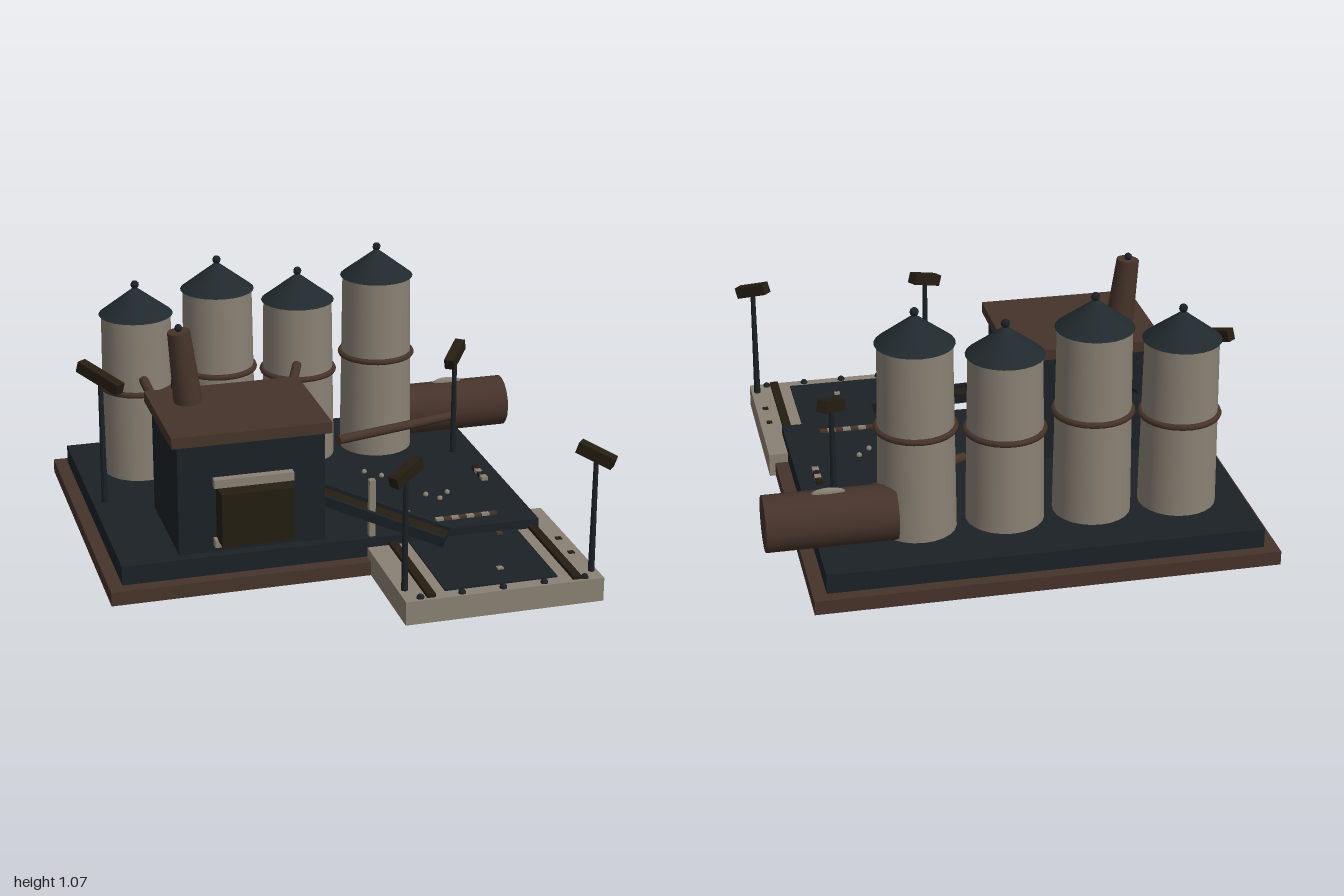
import * as THREE from 'three';

const mat = (color, flatShading = false) => new THREE.MeshStandardMaterial({ color, flatShading });
const BROWN = mat(0x46332a), DARK = mat(0x1b2126), ROOF = mat(0x20292d);
const STONE = mat(0x8a8174), OLIVE = mat(0x241d12), BALL = mat(0x1b2126, true);
const V = (p) => new THREE.Vector3(...p);

export function createModel() {
  const root = new THREE.Group();

  const add = (parent, name, geo, material, pos = [0, 0, 0]) => {
    const m = new THREE.Mesh(geo, material);
    m.name = name;
    m.position.set(...pos);
    parent.add(m);
    return m;
  };
  const group = (name) => {
    const g = new THREE.Group();
    g.name = name;
    root.add(g);
    return g;
  };
  // Box given by its min and max corners
  const box = (parent, name, material, [x0, y0, z0], [x1, y1, z1]) =>
    add(parent, name, new THREE.BoxGeometry(x1 - x0, y1 - y0, z1 - z0), material,
      [(x0 + x1) / 2, (y0 + y1) / 2, (z0 + z1) / 2]);
  // Round bar from a to b
  const rod = (parent, name, material, a, b, r0, r1 = r0, sides = 12) => {
    const d = V(b).sub(V(a));
    const m = add(parent, name, new THREE.CylinderGeometry(r1, r0, d.length(), sides), material,
      V(a).lerp(V(b), 0.5).toArray());
    m.quaternion.setFromUnitVectors(new THREE.Vector3(0, 1, 0), d.normalize());
    return m;
  };
  // Group whose z axis runs from a to b, centred between them
  const along = (name, a, b) => {
    const g = group(name);
    g.position.copy(V(a).lerp(V(b), 0.5));
    g.lookAt(V(b));
    return [g, V(a).distanceTo(V(b))];
  };

  // Base plate and yard slab
  const base = group('base');
  box(base, 'baseRim', BROWN, [-1, 0.002, -0.94], [0.85, 0.06, 0.47]);
  box(base, 'yardSlab', DARK, [-0.945, 0, -0.89], [0.795, 0.14, 0.415]);

  // Loading apron with pad, rails and bolts
  const apron = group('apron');
  box(apron, 'apronSlab', STONE, [0.06, 0.001, 0.23], [0.875, 0.1, 0.935]);
  box(apron, 'apronPad', DARK, [0.235, 0.09, 0.4], [0.7, 0.106, 0.88]);
  box(apron, 'railLeft', OLIVE, [0.15, 0.09, 0.41], [0.185, 0.115, 0.92]);
  box(apron, 'railRight', OLIVE, [0.75, 0.09, 0.41], [0.785, 0.115, 0.92]);
  for (let i = 0; i < 5; i++)
    add(apron, 'apronBolt', new THREE.SphereGeometry(0.016, 8, 6), BALL, [0.125 + i * 0.169, 0.102, 0.912]);
  for (const z of [0.54, 0.68])
    box(apron, 'apronMark', OLIVE, [0.823, 0.09, z - 0.012], [0.847, 0.104, z + 0.012]);

  // Four silos, alternately short and tall
  for (let i = 0; i < 4; i++) {
    const silo = group('silo');
    silo.position.set(-0.677 + i * 0.354, 0, -0.563);
    const top = i % 2 ? 0.93 : 0.85, bandY = i % 2 ? 0.575 : 0.53;
    add(silo, 'siloBody', new THREE.CylinderGeometry(0.147, 0.157, top - 0.14, 24), STONE, [0, (top + 0.14) / 2, 0]);
    add(silo, 'siloRoof', new THREE.ConeGeometry(0.157, 0.12, 24), ROOF, [0, top + 0.055, 0]);
    add(silo, 'siloFinial', new THREE.SphereGeometry(0.018, 8, 6), BALL, [0, top + 0.122, 0]);
    const band = add(silo, 'siloBand', new THREE.TorusGeometry(0.154, 0.013, 8, 28), BROWN, [0, bandY, 0]);
    band.rotation.x = Math.PI / 2;
  }

  // Furnace house with leaning chimney
  const house = group('furnaceHouse');
  box(house, 'houseWalls', DARK, [-0.705, 0.13, -0.12], [-0.105, 0.61, 0.37]);
  box(house, 'houseRoof', BROWN, [-0.73, 0.605, -0.147], [-0.08, 0.65, 0.393]);
  box(house, 'furnaceMouth', OLIVE, [-0.552, 0.2, 0.36], [-0.257, 0.425, 0.475]);
  box(house, 'furnaceLintel', STONE, [-0.565, 0.425, 0.36], [-0.24, 0.46, 0.405]);
  box(house, 'furnaceSill', STONE, [-0.565, 0.17, 0.36], [-0.24, 0.203, 0.405]);
  rod(house, 'chimney', BROWN, [-0.578, 0.63, 0.015], [-0.613, 0.953, 0.015], 0.06, 0.046, 14);
  add(house, 'chimneyKnob', new THREE.SphereGeometry(0.016, 8, 6), BALL, [-0.613, 0.966, 0.012]);

  // Pipes
  const pipes = group('pipes');
  rod(pipes, 'feedPipe', BROWN, [-0.68, 0.6, -0.45], [-0.668, 0.555, -0.1], 0.02);
  rod(pipes, 'feedPipe', BROWN, [0, 0.6, -0.45], [-0.135, 0.55, -0.1], 0.02);
  rod(pipes, 'groundPipe', BROWN, [0.14, 0.28, -0.3], [0.745, 0.245, -0.53], 0.02);

  // Horizontal tank
  const tank = group('tank');
  rod(tank, 'tankBody', BROWN, [0.485, 0.252, -0.642], [1, 0.252, -0.642], 0.112, 0.112, 18);
  const hatch = add(tank, 'tankHatch', new THREE.SphereGeometry(1, 12, 8), STONE, [0.745, 0.362, -0.646]);
  hatch.scale.set(0.068, 0.022, 0.012);

  // Conveyors: trough, belt, side rails and a support post
  const conveyor = (a, b, width, post, postTop) => {
    const [g, len] = along('conveyor', a, b);
    box(g, 'conveyorFrame', DARK, [-width / 2, -0.018, -len / 2], [width / 2, 0.008, len / 2]);
    box(g, 'conveyorBelt', OLIVE, [-width * 0.27, 0, -len / 2], [width * 0.27, 0.014, len / 2]);
    for (const s of [-1, 1]) {
      const x = s * (width / 2 - 0.009);
      box(g, 'conveyorRail', DARK, [x - 0.009, -0.018, -len / 2], [x + 0.009, 0.024, len / 2]);
    }
    box(root, 'conveyorPost', STONE, [post[0] - 0.013, 0.13, post[1] - 0.013], [post[0] + 0.013, postTop, post[1] + 0.013]);
  };
  conveyor([-0.12, 0.3, 0.25], [0.36, 0.155, 0.52], 0.125, [0.085, 0.388], 0.385);
  conveyor([-0.528, 0.42, -0.1], [-0.505, 0.555, -0.45], 0.1, [-0.527, -0.263], 0.63);

  // Lamp posts: pole foot height, then the two ends of the head
  const lamps = [
    [0.13, [-0.96, 0.725, -0.318], [-0.827, 0.665, -0.152]],
    [0.09, [0.025, 0.572, 0.867], [0.15, 0.62, 0.787]],
    [0.09, [0.795, 0.62, 0.81], [0.905, 0.572, 0.905]],
    [0.13, [0.64, 0.572, -0.308], [0.73, 0.622, -0.425]],
  ];
  for (const [foot, a, b] of lamps) {
    const [head, len] = along('lampHead', a, b);
    box(head, 'lampBox', OLIVE, [-0.022, -0.024, -len / 2], [0.022, 0.024, len / 2]);
    const { x, y, z } = head.position;
    rod(root, 'lampPole', DARK, [x, foot, z], [x, y, z], 0.014, 0.01, 8);
  }

  // Loose rivets and striped markers in the yard
  const yard = group('yardDetails');
  for (const [x, z] of [[0.24, -0.24], [0.3, -0.18], [0.42, 0.065], [0.465, 0.118], [0.515, 0.065],
    [0.19, 0.225], [0.235, 0.295], [0.29, 0.225]])
    add(yard, 'rivet', new THREE.SphereGeometry(0.012, 8, 6), STONE, [x, 0.145, z]);
  for (let i = 0; i < 8; i++) {
    const x = 0.38 + i * 0.033;
    box(yard, 'floorStripe', i % 2 ? BROWN : STONE, [x, 0.13, 0.31], [x + 0.033, 0.15, 0.332]);
  }
  for (let i = 0; i < 4; i++) {
    const z = -0.155 + i * 0.034;
    box(yard, 'sideStripe', i % 2 ? STONE : OLIVE, [0.7, 0.13, z], [0.727, 0.155, z + 0.034]);
  }
  box(yard, 'padMark', BROWN, [0.603, 0.1, 0.43], [0.627, 0.112, 0.454]);
  box(yard, 'padMark', STONE, [0.493, 0.1, 0.743], [0.517, 0.112, 0.767]);

  return root;
}
